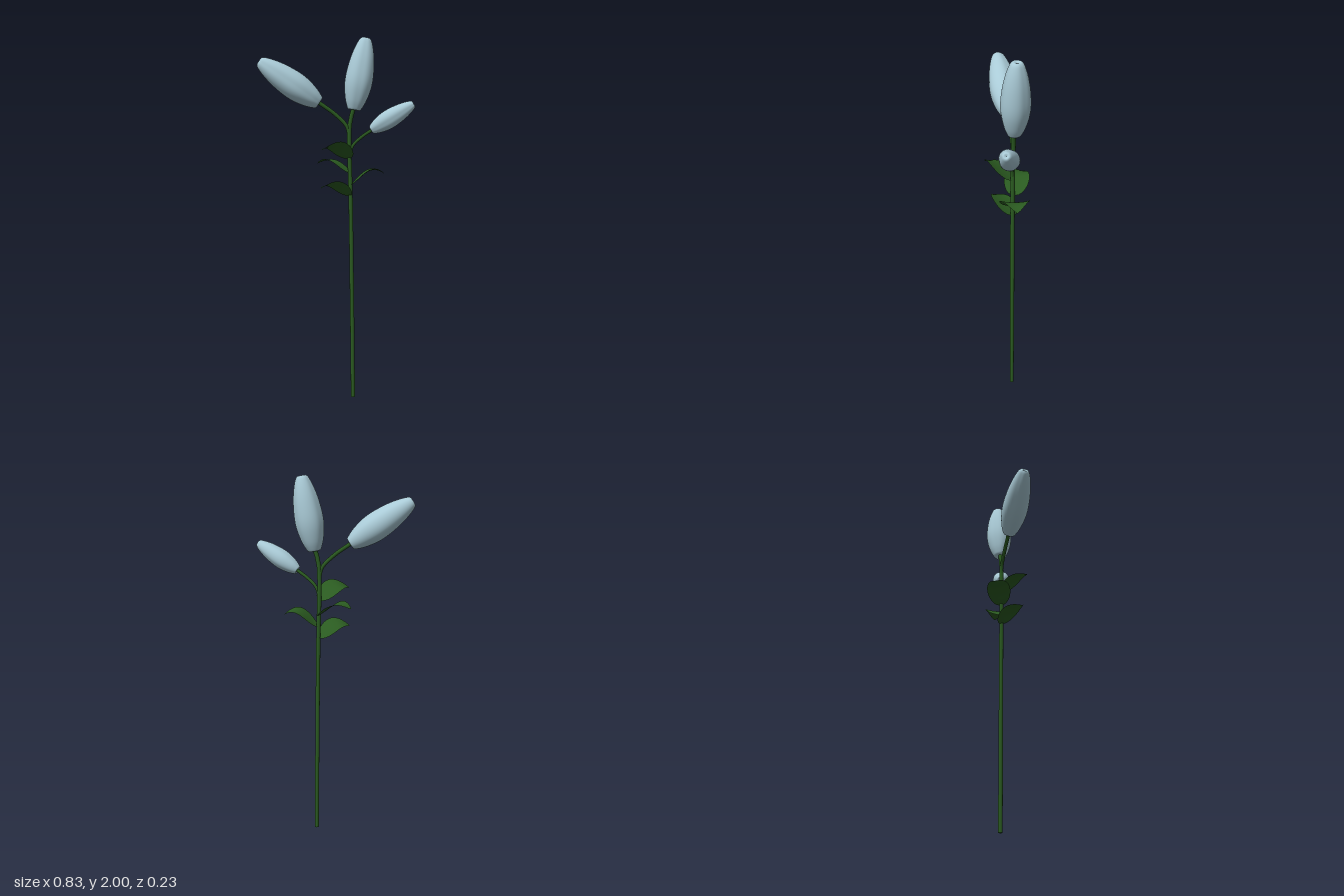
import * as THREE from 'three';

const V = (x, y, z) => new THREE.Vector3(x, y, z);

export function createModel() {
  const flower = new THREE.Group();
  flower.name = 'flowerStalk';

  const petalBlue = new THREE.MeshStandardMaterial({ color: 0xa9cad6 });
  petalBlue.name = 'pale blue petal';
  const leafGreen = new THREE.MeshStandardMaterial({ color: 0x2a5a20, side: THREE.DoubleSide });
  leafGreen.name = 'leaf green';

  const add = (name, geometry, material) => {
    const mesh = new THREE.Mesh(geometry, material);
    mesh.name = name;
    flower.add(mesh);
    return mesh;
  };

  // Tapered tube along a smooth path, closed at both ends
  function stalk(name, points, r0, r1) {
    const curve = new THREE.CatmullRomCurve3(points);
    const rings = 32, sides = 10;
    const geo = new THREE.TubeGeometry(curve, rings, 1, sides);
    const pos = geo.attributes.position;
    const p = V(0, 0, 0);
    for (let i = 0; i <= rings; i++) {
      const c = curve.getPointAt(i / rings);
      const r = THREE.MathUtils.lerp(r0, r1, i / rings);
      for (let j = 0; j <= sides; j++) {
        const k = i * (sides + 1) + j;
        p.fromBufferAttribute(pos, k).sub(c).multiplyScalar(r).add(c);
        pos.setXYZ(k, p.x, p.y, p.z);
      }
    }
    add(name, geo, leafGreen);
    for (const [t, r] of [[0, r0], [1, r1]]) {
      const cap = add(name + 'End', new THREE.CircleGeometry(r, sides), leafGreen);
      cap.position.copy(curve.getPointAt(t));
      cap.quaternion.setFromUnitVectors(V(0, 0, 1), curve.getTangentAt(t).multiplyScalar(t ? 1 : -1));
    }
  }

  // Closed bud: a spindle with three shallow seams between overlapping petals
  const budProfile = [
    [0, 0.015], [0.25, 0.004], [0.43, 0.0], [0.56, 0.04], [0.75, 0.13], [0.93, 0.27], [1, 0.4],
    [0.97, 0.54], [0.86, 0.7], [0.69, 0.84], [0.5, 0.945], [0.38, 0.985], [0.26, 1], [0.12, 0.992], [0, 0.975],
  ];
  function bud(name, base, tip, radius) {
    const length = base.distanceTo(tip);
    const spline = new THREE.SplineCurve(budProfile.map(([r, t]) => new THREE.Vector2(r * radius, t * length)));
    const outline = spline.getPoints(42);
    outline.forEach((q) => { q.x = Math.max(q.x, 0); });
    const geo = new THREE.LatheGeometry(outline, 48);
    const pos = geo.attributes.position;
    for (let i = 0; i < pos.count; i++) {
      const x = pos.getX(i), z = pos.getZ(i);
      const seam = Math.pow(Math.abs(Math.cos(1.5 * Math.atan2(x, z))), 10);
      const k = 1.01 - 0.05 * seam;
      pos.setX(i, x * k);
      pos.setZ(i, z * k);
    }
    geo.computeVertexNormals();
    const mesh = add(name, geo, petalBlue);
    mesh.position.copy(base);
    mesh.quaternion.setFromUnitVectors(V(0, 1, 0), tip.clone().sub(base).normalize());
  }

  // Broad pointed leaf that arches up and droops at the tip; roll lifts its +z edge
  function leaf(name, base, tipX, tipZ, rise, halfWidth, roll) {
    const axis = V(tipX - base.x, 0, tipZ - base.z);
    const side = V(axis.z, 0, -axis.x).normalize();
    if (side.z < 0) side.negate();
    const geo = new THREE.PlaneGeometry(1, 1, 20, 8);
    const pos = geo.attributes.position;
    for (let i = 0; i < pos.count; i++) {
      const t = pos.getX(i) + 0.5, s = pos.getY(i) * 2;
      const w = halfWidth * Math.pow(Math.max(Math.sin(Math.PI * Math.pow(t, 0.75)), 0), 0.75);
      const p = base.clone().addScaledVector(axis, t).addScaledVector(side, w * s);
      p.y += rise * Math.pow(Math.sin(2.3 * t), 1.25) + roll * w * s + 0.12 * w * (s * s - 0.5);
      pos.setXYZ(i, p.x, p.y, p.z);
    }
    geo.computeVertexNormals();
    add(name, geo, leafGreen);
  }

  // Main stem and the two side stalks
  stalk('stem', [V(0.1, 0, -0.005), V(0.092, 0.6, -0.007), V(0.083, 1.15, -0.009),
    V(0.075, 1.48, -0.012), V(0.08, 1.56, -0.013), V(0.102, 1.64, -0.013)], 0.012, 0.012);
  stalk('rightBudStalk', [V(0.076, 1.47, -0.012), V(0.062, 1.53, -0.013), V(0, 1.595, -0.014), V(-0.095, 1.662, -0.014)], 0.01, 0.011);
  stalk('leftBudStalk', [V(0.078, 1.38, -0.01), V(0.095, 1.43, -0.006), V(0.14, 1.475, 0.005), V(0.205, 1.52, 0.022)], 0.008, 0.009);

  // Buds
  bud('centreBud', V(0.1, 1.62, -0.013), V(0.163, 1.998, -0.013), 0.074);
  bud('rightBud', V(-0.088, 1.656, -0.013), V(-0.405, 1.872, -0.013), 0.073);
  bud('leftBud', V(0.192, 1.513, 0.017), V(0.408, 1.65, 0.08), 0.05);

  // Leaves
  leaf('upperLeaf', V(0.085, 1.36, -0.005), -0.08, 0.108, 0.07, 0.066, 0.35);
  leaf('backLeaf', V(0.085, 1.275, -0.01), -0.095, -0.095, 0.075, 0.066, 0.05);
  leaf('leftLeaf', V(0.083, 1.215, -0.01), 0.27, 0, 0.085, 0.078, 0.05);
  leaf('lowerLeaf', V(0.085, 1.155, -0.01), -0.087, 0.07, 0.068, 0.066, 0.3);

  return flower;
}
